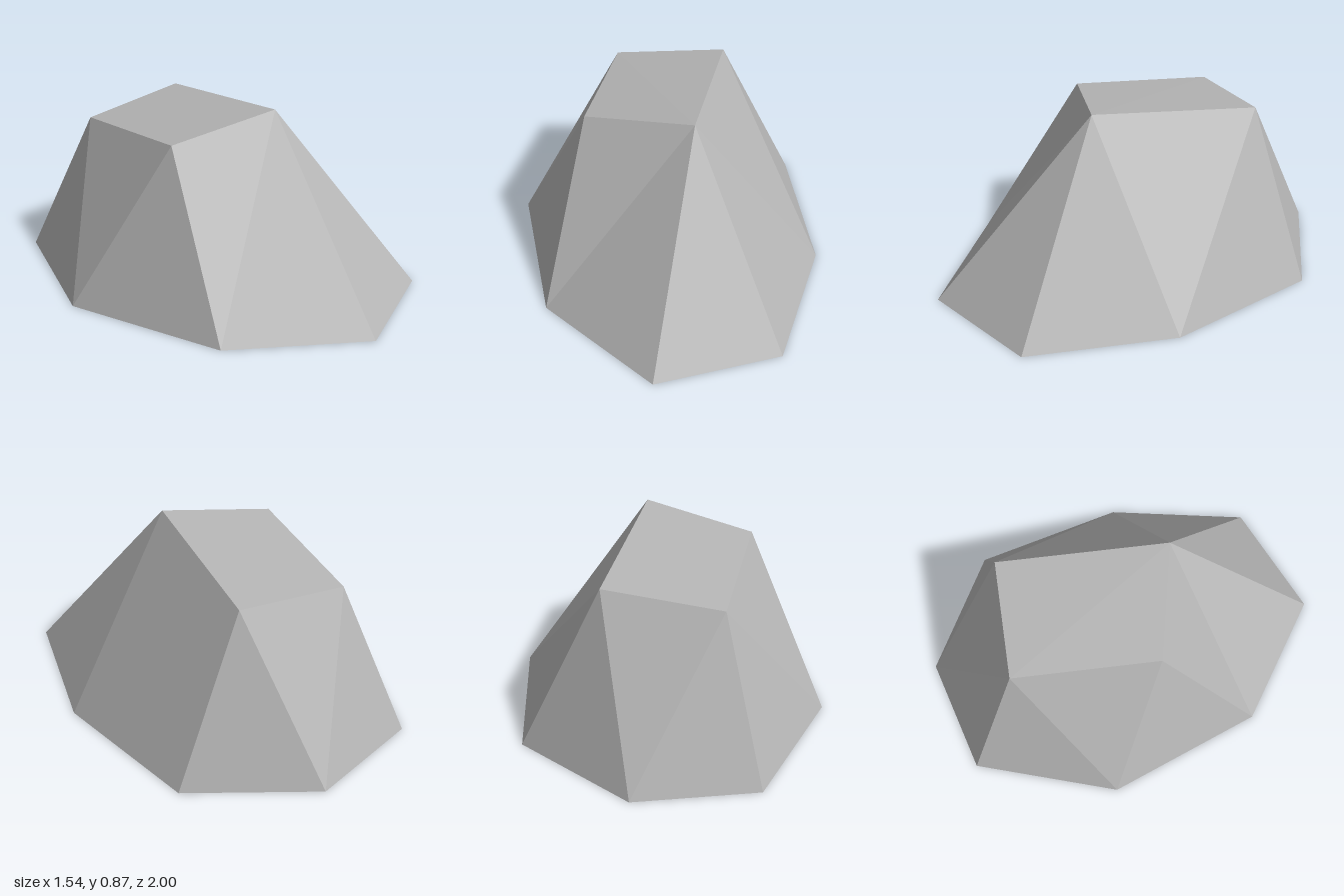
import * as THREE from 'three';

// Foot of the boulder, walked clockwise from the back (seen from above)
const foot = [
  [0.02, -1], [0.59, -0.68], [0.77, 0.06], [0.63, 0.76],
  [0.07, 1], [-0.5, 0.6], [-0.77, -0.15], [-0.54, -0.84],
].map(([x, z]) => new THREE.Vector3(x, 0, z));

// Corners of the sloping top
const backRight = new THREE.Vector3(0.22, 0.79, -0.57);
const frontRight = new THREE.Vector3(0.16, 0.87, 0.24);
const frontLeft = new THREE.Vector3(-0.37, 0.79, 0.12);
const backLeft = new THREE.Vector3(-0.33, 0.73, -0.57);

// Facets as convex polygons, turned into flat triangle fans
function facets(name, polygons, material) {
  const points = [];
  for (const p of polygons) {
    for (let i = 1; i < p.length - 1; i++) points.push(p[0], p[i], p[i + 1]);
  }
  const geometry = new THREE.BufferGeometry().setFromPoints(points);
  geometry.computeVertexNormals();
  const mesh = new THREE.Mesh(geometry, material);
  mesh.name = name;
  return mesh;
}

export function createModel() {
  const stone = new THREE.MeshStandardMaterial({ color: 0xb4b4b4 });
  stone.name = 'grey stone';
  stone.flatShading = true;
  stone.side = THREE.DoubleSide; // the shell is open underneath

  // Each wall stands on one foot edge and rises to one or two top corners
  const tops = [
    [backRight], [backRight, frontRight], [frontRight], [frontRight],
    [frontRight, frontLeft], [frontLeft], [backLeft], [backLeft, backRight],
  ];
  const walls = tops.map((top, i) => [foot[(i + 1) % 8], foot[i], ...top]);
  walls.push([foot[6], frontLeft, backLeft]); // facet hanging from the left top edge

  const boulder = new THREE.Group();
  boulder.name = 'boulder';
  boulder.add(
    facets('boulderSides', walls, stone),
    facets('boulderTop', [[backLeft, frontLeft, frontRight, backRight]], stone),
  );
  return boulder;
}
